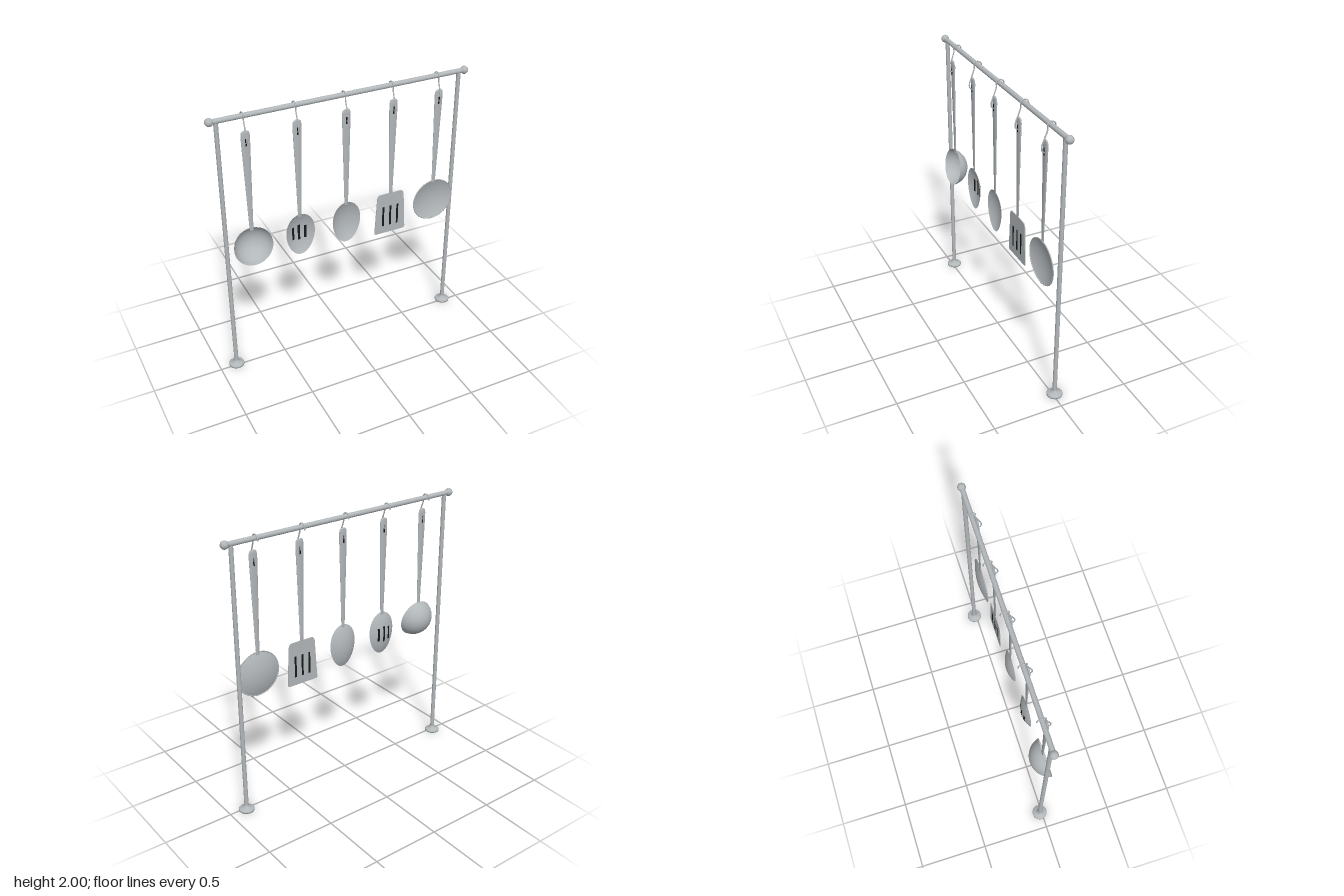
import * as THREE from 'three';

const steel = new THREE.MeshStandardMaterial({ color: 0xb2b7ba, side: THREE.DoubleSide });
steel.name = 'steel';
const black = new THREE.MeshStandardMaterial({ color: 0x151719, side: THREE.DoubleSide });
black.name = 'black';

const RACK_Z = -0.015, TOOL_Z = 0.02, BAR_Y = 1.97;
const V2 = (p) => p.map(([x, y]) => new THREE.Vector2(x, y));

function add(parent, name, geo, mat, x = 0, y = 0, z = 0) {
  const m = new THREE.Mesh(geo, mat);
  m.name = name;
  m.position.set(x, y, z);
  parent.add(m);
  return m;
}

// Depth of a spherical cap (radius r, depth d) at fraction u of the radius
function capDepth(r, d, u) {
  const R = (r * r + d * d) / (2 * d);
  return -(Math.sqrt(Math.max(R * R - r * r * u * u, 0)) - (R - d));
}

// Open bowl facing +z, stretched to height ry and widened upwards by egg
function bowl(rx, ry, d, egg = 0) {
  const pts = [];
  for (let i = 0; i <= 14; i++) pts.push(new THREE.Vector2(rx * i / 14, capDepth(rx, d, i / 14)));
  const g = new THREE.LatheGeometry(pts, 48);
  g.rotateX(Math.PI / 2).scale(1, ry / rx, 1);
  const p = g.attributes.position;
  for (let i = 0; i < p.count; i++) p.setX(i, p.getX(i) * (1 + egg * p.getY(i) / ry));
  return g;
}

// Slot strip that follows the curve of a bowl
function curvedSlot(x, w, h, rx, ry, d, offset) {
  const g = new THREE.PlaneGeometry(w, h, 2, 8);
  const p = g.attributes.position;
  for (let i = 0; i < p.count; i++) {
    const px = p.getX(i) + x, py = p.getY(i);
    p.setXYZ(i, px, py, capDepth(rx, d, Math.hypot(px / rx, py / ry)) + offset);
  }
  g.computeVertexNormals();
  return g;
}

// S-shaped hook: over the bar, down, and through the handle
function hook(parent) {
  const path = [[-0.046, 1.955], [-0.042, 1.98], [-0.015, 1.994], [0.01, 1.98], [0.008, 1.95],
    [0.024, 1.9], [0.046, 1.84], [0.045, 1.815], [0.03, 1.798], [0.01, 1.808], [0.004, 1.835]];
  const curve = new THREE.CatmullRomCurve3(path.map(([z, y]) => new THREE.Vector3(0, y, z)));
  add(parent, 'hook', new THREE.TubeGeometry(curve, 48, 0.0045, 8), steel);
}

// Flattened tapering handle with its hanging hole
function handle(parent) {
  const g = new THREE.LatheGeometry(V2([[0, 1.15], [0.013, 1.15], [0.015, 1.2], [0.019, 1.35],
    [0.025, 1.58], [0.031, 1.8], [0.031, 1.85], [0.027, 1.872], [0.018, 1.88], [0, 1.882]]), 24);
  g.scale(1, 1, 0.27);
  add(parent, 'handle', g, steel, 0, 0, TOOL_Z);
  for (const s of [-1, 1])
    add(parent, 'hangingHole', new THREE.BoxGeometry(0.01, 0.052, 0.002), black, 0, 1.803, TOOL_Z + s * 0.0085);
}

function ladle(t) {
  const b = add(t, 'ladleBowl', bowl(0.14, 0.138, 0.11), steel, 0, 1.024, 0.045);
  b.rotation.x = -0.175;
  add(t, 'ladleNeck', new THREE.BoxGeometry(0.022, 0.04, 0.008), steel, 0, 1.16, TOOL_Z);
}

function spoon(t) {
  add(t, 'spoonBowl', bowl(0.107, 0.163, 0.036, 0.1), steel, 0, 1.008, 0.025);
}

function slottedSpoon(t) {
  spoon(t);
  for (const i of [-1, 0, 1])
    for (const o of [-0.002, 0.002])
      add(t, 'spoonSlot', curvedSlot(i * 0.045, 0.017, i ? 0.1 : 0.12, 0.107, 0.163, 0.036, o), black, 0, 1.008, 0.025);
}

function spatula(t) {
  const s = new THREE.Shape();
  s.moveTo(-0.108, -0.163);
  s.lineTo(0.108, -0.163);
  s.quadraticCurveTo(0.124, -0.163, 0.123, -0.145);
  s.lineTo(0.106, 0.135);
  s.quadraticCurveTo(0.1, 0.163, 0.082, 0.163);
  s.lineTo(-0.082, 0.163);
  s.quadraticCurveTo(-0.1, 0.163, -0.106, 0.135);
  s.lineTo(-0.123, -0.145);
  s.quadraticCurveTo(-0.124, -0.163, -0.108, -0.163);
  const g = new THREE.ExtrudeGeometry(s, { depth: 0.006, bevelEnabled: false, curveSegments: 6 });
  add(t, 'spatulaBlade', g, steel, 0, 0.99, TOOL_Z - 0.003);
  for (const i of [-1, 0, 1])
    add(t, 'spatulaSlot', new THREE.BoxGeometry(0.015, 0.16, 0.009), black, i * 0.057, 0.968, TOOL_Z);
}

function skimmer(t) {
  add(t, 'skimmerDish', bowl(0.16, 0.16, 0.032), steel, 0, 1.008, 0.025);
  add(t, 'skimmerRim', new THREE.TorusGeometry(0.16, 0.004, 8, 56), steel, 0, 1.008, 0.025);
}

export function createModel() {
  const model = new THREE.Group();
  model.name = 'utensilRack';

  // Rack: bar, end balls, posts and flanged feet
  const bar = add(model, 'bar', new THREE.CylinderGeometry(0.017, 0.017, 1.84, 24), steel, 0, BAR_Y, RACK_Z);
  bar.rotation.z = Math.PI / 2;
  const foot = new THREE.LatheGeometry(V2([[0, 0], [0.055, 0], [0.055, 0.01], [0.05, 0.015],
    [0.032, 0.02], [0.021, 0.029], [0.016, 0.042]]), 32);
  for (const s of [-1, 1]) {
    add(model, 'endBall', new THREE.SphereGeometry(0.028, 24, 16), steel, s * 0.92, BAR_Y, RACK_Z);
    add(model, 'post', new THREE.CylinderGeometry(0.015, 0.015, 1.95, 24), steel, s * 0.877, 0.99, RACK_Z);
    add(model, 'foot', foot, steel, s * 0.877, 0, RACK_Z);
  }

  // Five hanging tools
  const tools = { ladle, slottedSpoon, spoon, spatula, skimmer };
  Object.entries(tools).forEach(([name, build], i) => {
    const t = new THREE.Group();
    t.name = name;
    t.position.x = (i - 2) * 0.352;
    hook(t);
    handle(t);
    build(t);
    model.add(t);
  });
  return model;
}
